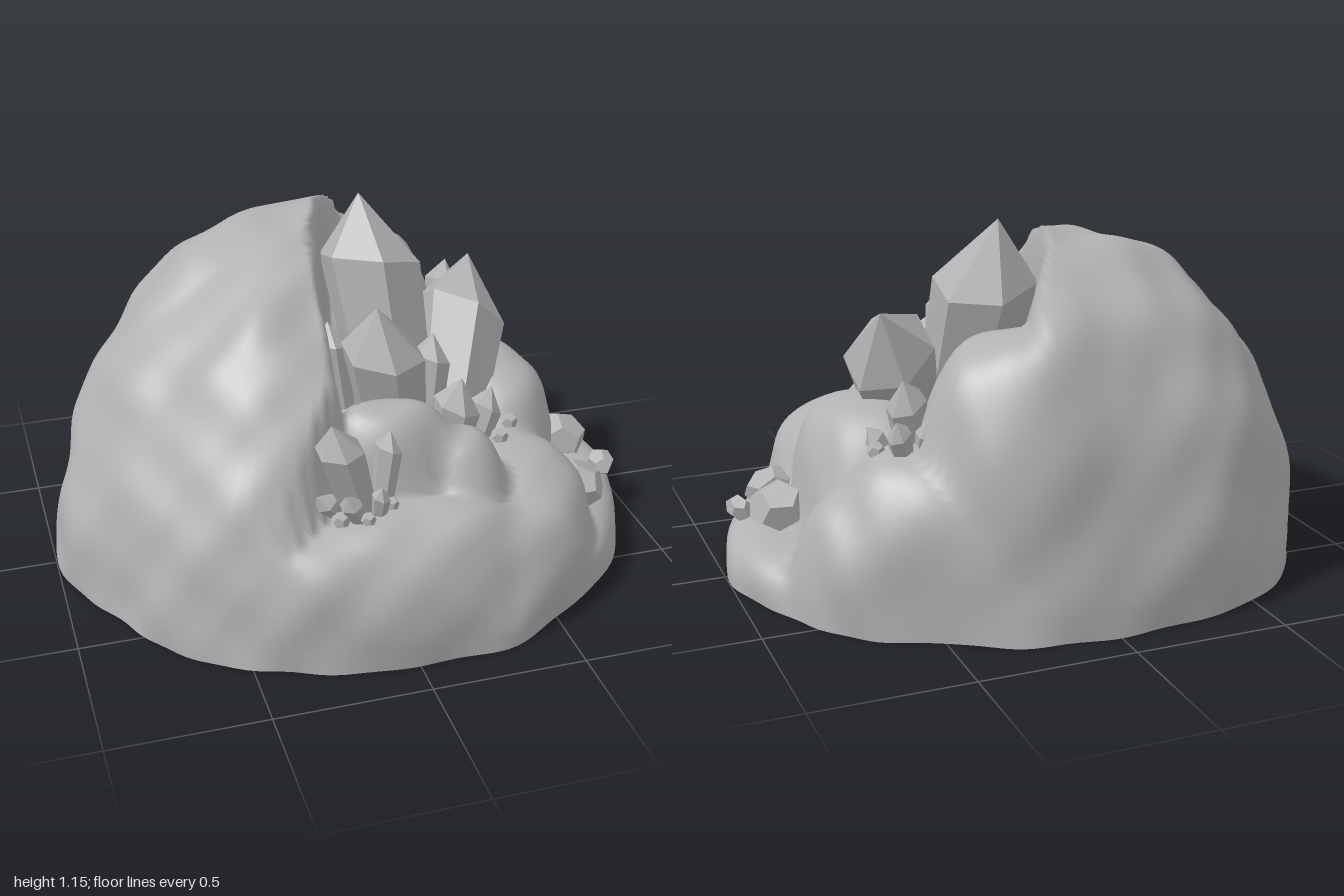
import * as THREE from 'three';
import { mergeGeometries } from 'three/addons/utils/BufferGeometryUtils.js';

const stone = new THREE.MeshStandardMaterial({ color: 0xb2b2b2 });
stone.name = 'grey stone';

const RINGS = 56, SIDES = 150;
// Rim radius every 30 degrees, from +x towards +z
const RIM = [0.985, 0.96, 0.93, 0.88, 0.91, 0.94, 0.99, 0.96, 0.95, 0.88, 0.9, 0.97];
// Edge of the tall dome: [z, x] where it drops into the crystal pocket
const EDGE = [[-0.95, 0.3], [-0.5, 0.16], [-0.3, 0.02], [-0.1, -0.05], [0.3, -0.1],
  [0.5, -0.15], [0.65, -0.28], [0.75, -0.42], [0.95, -0.65]];
// Boulders around the pocket: x, z, radius x, radius z, height
const LOBES = [
  [0.18, -0.54, 0.34, 0.34, 0.88], [0.46, -0.5, 0.32, 0.38, 0.52],
  [0.62, -0.5, 0.3, 0.34, 0.41], [0.53, -0.06, 0.24, 0.36, 0.58],
  [0.5, 0.4, 0.26, 0.3, 0.42], [0.02, 0.46, 0.26, 0.16, 0.7],
  [0.25, 0.49, 0.16, 0.17, 0.58], [0.02, 0.66, 0.42, 0.3, 0.44],
  [0.4, 0.62, 0.28, 0.26, 0.37], [-0.34, 0.66, 0.3, 0.28, 0.42],
  [0.2, 0.1, 0.42, 0.4, 0.42],
];
const { smoothstep, lerp } = THREE.MathUtils;

function rimRadius(a) {
  const t = ((a / (Math.PI * 2)) % 1 + 1) % 1 * 12, i = Math.floor(t);
  return lerp(RIM[i % 12], RIM[(i + 1) % 12], smoothstep(t - i, 0, 1));
}

function edgeX(z) {
  const k = Math.max(1, EDGE.findIndex(e => e[0] > z));
  const [z0, x0] = EDGE[k - 1], [z1, x1] = EDGE[k];
  return x0 + (x1 - x0) * (z - z0) / (z1 - z0);
}

// Height of the rock at angle a, at fraction q of the rim radius
function rockHeight(a, q) {
  const r = q * rimRadius(a), x = r * Math.cos(a), z = r * Math.sin(a);
  // The dome is fuller at the back, and rounds off towards the front of the pocket
  const p = 1.88 + 0.6 * Math.max(0, -Math.sin(a));
  const side = x - edgeX(z) + 0.015 * Math.sin(9 * z + 2 * x);
  const brow = 1 - 0.1 * smoothstep(side, -0.28, 0) * smoothstep(z, -0.15, 0.25);
  const mask = 1 - smoothstep(side, -0.035, 0.07);
  const dome = 1.12 * Math.max(0, 1 - q ** p) ** (1 / p) * brow * mask;
  const rim = Math.cbrt(Math.max(0, 1 - q ** 14));
  let sum = dome ** 14 + (0.16 * rim) ** 14;
  for (const [cx, cz, rx, rz, h] of LOBES) {
    const d = Math.hypot((x - cx) / rx, (z - cz) / rz);
    if (d < 1) sum += (h * rim * Math.cbrt(1 - d ** 3)) ** 14;
  }
  return sum ** (1 / 14);
}

// Weathered lumps: pushes a rock point in or out
function weather(v) {
  const { x, y, z } = v;
  const lump = 0.012 * Math.sin(7 * x + 4 * y + 1) * Math.sin(8 * z - 5 * y + 2)
    + 0.01 * Math.sin(12 * y - 6 * x + 3 * z) * Math.cos(9 * x + 11 * z)
    + 0.007 * Math.sin(21 * x + 9 * z) * Math.sin(19 * y - 13 * z);
  const s = 1 + lump;
  return v.set(x * s, Math.max(0, y * s), z * s);
}

const rimPoint = (a) => weather(new THREE.Vector3(Math.cos(a), 0, Math.sin(a)).multiplyScalar(rimRadius(a)));

function buildGeometry(points, idx) {
  const g = new THREE.BufferGeometry().setFromPoints(points);
  g.setIndex(idx);
  g.computeVertexNormals();
  return g;
}

// Rings of points from the middle out to the rim
function rockGeometry() {
  const points = [], idx = [];
  for (let i = 0; i <= RINGS; i++) {
    const q = Math.sin(i / RINGS * Math.PI / 2);
    for (let j = 0; j < SIDES; j++) {
      const a = j / SIDES * Math.PI * 2, r = q * rimRadius(a);
      points.push(i === RINGS ? rimPoint(a)
        : weather(new THREE.Vector3(r * Math.cos(a), rockHeight(a, q), r * Math.sin(a))));
      if (i === RINGS) continue;
      const k = (j + 1) % SIDES, b = i * SIDES, c = b + SIDES;
      if (i > 0) idx.push(b + j, b + k, c + j);
      idx.push(b + k, c + k, c + j);
    }
  }
  return buildGeometry(points, idx);
}

function baseGeometry() {
  const points = [new THREE.Vector3()], idx = [];
  for (let j = 0; j < SIDES; j++) {
    points.push(rimPoint(j / SIDES * Math.PI * 2));
    idx.push(0, j + 1, (j + 1) % SIDES + 1);
  }
  return buildGeometry(points, idx);
}

// Six-sided crystal from base to tip, with faceted normals and an uneven point
function crystalGeometry([bx, by, bz, tx, ty, tz, r]) {
  const from = new THREE.Vector3(bx, by, bz), axis = new THREE.Vector3(tx, ty, tz).sub(from);
  const L = axis.length(), neck = Math.max(L * 0.5, L - r * 1.3);
  const profile = [[0, 0], [r * 0.75, 0], [r, neck], [0, L]].map(p => new THREE.Vector2(...p));
  const g = new THREE.LatheGeometry(profile, 6).toNonIndexed();
  const p = g.attributes.position;
  for (let i = 0; i < p.count; i++) {
    if (Math.abs(p.getY(i) - neck) < 1e-4) p.setY(i, neck - p.getX(i) * 0.25);
  }
  const up = new THREE.Vector3(0, 1, 0);
  g.applyQuaternion(new THREE.Quaternion().setFromUnitVectors(up, axis.normalize()));
  g.translate(bx, by, bz);
  g.computeVertexNormals();
  return g;
}

export function createModel() {
  const model = new THREE.Group();
  model.name = 'crystalRock';
  const add = (name, geometry) => {
    const mesh = new THREE.Mesh(geometry, stone);
    mesh.name = name;
    model.add(mesh);
    return mesh;
  };

  add('rock', rockGeometry());
  add('rockBase', baseGeometry());

  // Crystals: base xyz, tip xyz, radius
  add('tallCrystal', crystalGeometry([0.19, 0.3, 0.1, 0.11, 1.15, -0.17, 0.17]));
  add('rightCrystal', crystalGeometry([0.3, 0.32, 0.2, 0.51, 0.88, -0.18, 0.155]));
  add('frontCrystal', crystalGeometry([0.14, 0.35, 0.2, 0.03, 0.95, 0.3, 0.135]));
  const clusters = {
    pocketCrystals: [
      [0.24, 0.38, 0.18, 0.28, 0.75, 0.13, 0.065], [0.3, 0.36, 0.26, 0.33, 0.65, 0.28, 0.08],
      [0.4, 0.38, 0.25, 0.46, 0.57, 0.22, 0.055], [-0.02, 0.5, 0.08, -0.06, 0.8, 0.05, 0.06],
    ],
    frontCluster: [
      [-0.11, 0.4, 0.61, -0.22, 0.76, 0.66, 0.075], [-0.05, 0.4, 0.61, -0.01, 0.67, 0.58, 0.045],
      [-0.16, 0.42, 0.64, -0.27, 0.53, 0.67, 0.035], [-0.13, 0.42, 0.67, -0.19, 0.54, 0.71, 0.035],
      [-0.07, 0.42, 0.66, -0.07, 0.54, 0.69, 0.03],
    ],
    backCluster: [
      [0.47, 0.45, -0.37, 0.53, 0.74, -0.46, 0.065], [0.52, 0.45, -0.45, 0.57, 0.63, -0.51, 0.04],
      [0.54, 0.45, -0.36, 0.61, 0.57, -0.34, 0.035], [0.47, 0.46, -0.47, 0.47, 0.64, -0.53, 0.04],
    ],
  };
  for (const [name, list] of Object.entries(clusters)) {
    add(name, mergeGeometries(list.map(crystalGeometry)));
  }

  // Tiny buds around the cluster feet: x, y, z, size
  const buds = [[0.38, 0.43, 0.32, 0.035], [0.46, 0.43, 0.31, 0.03], [0.52, 0.44, 0.24, 0.03],
    [0.27, 0.45, 0.33, 0.035], [-0.2, 0.45, 0.69, 0.03], [-0.12, 0.45, 0.71, 0.025],
    [-0.03, 0.46, 0.66, 0.025], [0.6, 0.51, -0.4, 0.03], [0.58, 0.51, -0.32, 0.03],
    [0.45, 0.53, -0.32, 0.025]];
  add('crystalBuds', mergeGeometries(buds.map(([x, y, z, s]) =>
    new THREE.DodecahedronGeometry(s).translate(x, y, z))));

  // Loose stones on the right ledge: x, y, z, half sizes, turn
  const stones = [[0.81, 0.22, 0.01, 0.1, 0.08, 0.11, 0.3], [0.77, 0.19, 0.3, 0.09, 0.06, 0.12, -0.5],
    [0.91, 0.17, 0.16, 0.04, 0.05, 0.06, 0.2]];
  stones.forEach(([x, y, z, sx, sy, sz, turn], i) => {
    const s = add('ledgeStone' + (i + 1), new THREE.DodecahedronGeometry(1));
    s.position.set(x, y, z);
    s.scale.set(sx, sy, sz);
    s.rotation.set(0, turn, -0.35);
  });
  return model;
}
